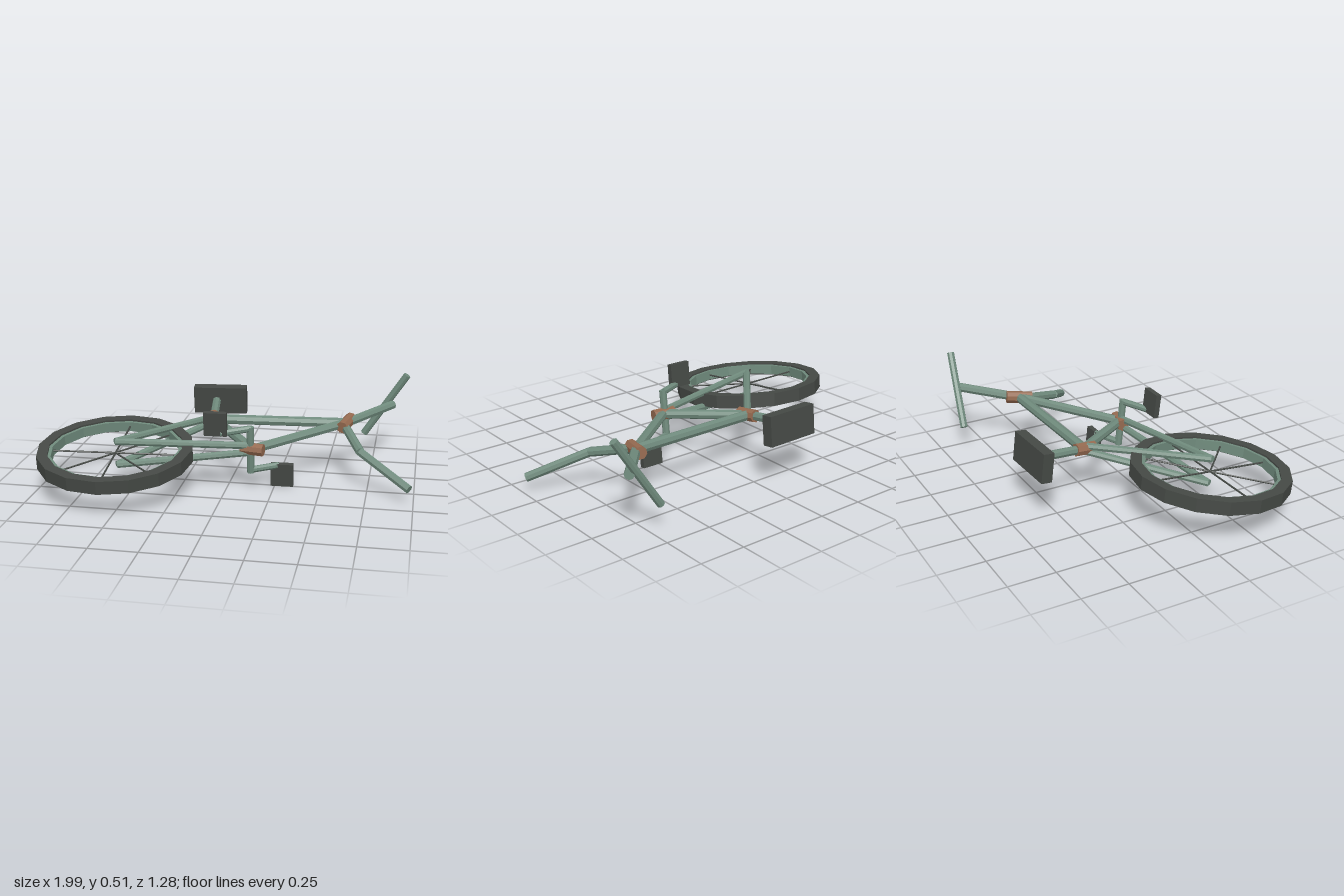
import * as THREE from 'three';

const frameGreen = new THREE.MeshStandardMaterial({ color: 0x6f8a7c });
frameGreen.name = 'frame green';
const rubberDark = new THREE.MeshStandardMaterial({ color: 0x454945 });
rubberDark.name = 'dark rubber';
const lugBrown = new THREE.MeshStandardMaterial({ color: 0x94694f });
lugBrown.name = 'rusty brown';

const UP = new THREE.Vector3(0, 1, 0);
// Normal of the plane in which the bicycle lies
const NORMAL = new THREE.Vector3(-0.01, 1, 0.117).normalize();
const V = (x, y, z) => new THREE.Vector3(x, y, z);
// Point of the lying frame at (x, z), raised by h along the normal
const P = (x, z, h = 0) =>
  V(x, 0.214 + 0.01 * (x + 0.58) - 0.117 * (z - 0.217), z).addScaledVector(NORMAL, h);

export function createModel() {
  const bike = new THREE.Group();
  bike.name = 'brokenBicycle';

  // Faceted mesh
  function add(name, geometry, material, parent = bike) {
    const flat = geometry.toNonIndexed();
    flat.computeVertexNormals();
    const mesh = new THREE.Mesh(flat, material);
    mesh.name = name;
    parent.add(mesh);
    return mesh;
  }

  // Straight tube between two points
  function tube(name, a, b, r, material = frameGreen, sides = 8, parent = bike) {
    const dir = b.clone().sub(a);
    const mesh = add(name, new THREE.CylinderGeometry(r, r, dir.length(), sides), material, parent);
    mesh.position.copy(a).add(b).multiplyScalar(0.5);
    mesh.quaternion.setFromUnitVectors(UP, dir.normalize());
    return mesh;
  }

  // Box whose height follows the plane normal
  function block(name, center, size, dirX, dirZ) {
    const z = V(dirX, 0, dirZ).cross(NORMAL).normalize();
    const x = NORMAL.clone().cross(z);
    const mesh = add(name, new THREE.BoxGeometry(...size), rubberDark);
    mesh.quaternion.setFromRotationMatrix(new THREE.Matrix4().makeBasis(x, NORMAL, z));
    mesh.position.copy(center);
  }

  // Frame joints
  const seat = P(-0.145, -0.285);
  const head = P(0.605, -0.31);
  const bottom = P(0.14, 0.09);

  // Main triangle
  tube('topTube', seat, head, 0.028);
  tube('downTube', head, bottom, 0.026);
  tube('seatTube', seat, bottom, 0.026);

  // Rear stays, spread on both sides of the wheel
  for (const s of [1, -1]) {
    const dropout = P(-0.575, 0.22, s * 0.068);
    tube('seatStay', P(-0.15, -0.27, s * 0.015), dropout, 0.02);
    tube('chainStay', P(0.12, 0.09, s * 0.02), dropout, 0.02);
  }

  // Brown lugs at the joints
  tube('seatLug', P(-0.15, -0.335), P(-0.14, -0.22), 0.035, lugBrown);
  tube('headLug', P(0.627, -0.38), P(0.588, -0.24), 0.034, lugBrown);
  tube('bottomBracketLug', P(0.078, 0.078), P(0.2, 0.098), 0.034, lugBrown);

  // Seat post and saddle
  tube('seatPost', seat, P(-0.18, -0.56), 0.024);
  block('saddle', P(-0.16, -0.58), [0.31, 0.16, 0.06], 1, -0.05);

  // Stem and handlebar
  tube('stem', head, P(0.85, -0.6), 0.026);
  tube('handlebar', V(0.69, 0.135, -0.625), V(0.925, 0.505, -0.59), 0.021);

  // Single bent fork leg
  const bend = V(0.705, 0.21, -0.045);
  tube('forkLegUpper', V(0.6, 0.28, -0.28), bend, 0.025);
  tube('forkLegLower', bend, V(0.975, 0.08, 0.135), 0.024);

  // Crank axle, arms and pedals
  const topEnd = V(0.13, 0.355, 0.105);
  const lowEnd = V(0.13, 0.115, 0.077);
  tube('crankAxle', V(0.13, 0.365, 0.106), V(0.13, 0.1, 0.075), 0.02);
  tube('crankArm', topEnd, V(-0.02, 0.345, 0.185), 0.018);
  tube('crankArm', lowEnd, V(0.27, 0.125, 0.005), 0.018);
  block('pedal', V(-0.042, 0.397, 0.187), [0.122, 0.13, 0.03], 1, 0);
  block('pedal', V(0.29, 0.072, 0.003), [0.122, 0.13, 0.03], 1, 0);

  // Rear wheel, built around its own y axis
  const wheel = new THREE.Group();
  wheel.name = 'rearWheel';
  wheel.position.copy(P(-0.58, 0.217));
  wheel.quaternion.setFromUnitVectors(UP, NORMAL);
  bike.add(wheel);
  const ring = (inner, outer, h) => new THREE.LatheGeometry(
    [[inner, -h], [outer, -h], [outer, h], [inner, h], [inner, -h]]
      .map(([x, y]) => new THREE.Vector2(x, y)), 16).rotateY(0.035);
  add('tire', ring(0.362, 0.42, 0.036), rubberDark, wheel);
  add('rim', ring(0.344, 0.364, 0.027), frameGreen, wheel);

  // Spokes, one of them missing
  for (let i = 0; i < 8; i++) {
    if (i === 5) continue;
    const a = i * Math.PI / 4 - 0.035;
    tube('spoke', V(0, 0, 0), V(0.352 * Math.cos(a), 0, 0.352 * Math.sin(a)), 0.005, rubberDark, 5, wheel);
  }

  return bike;
}
